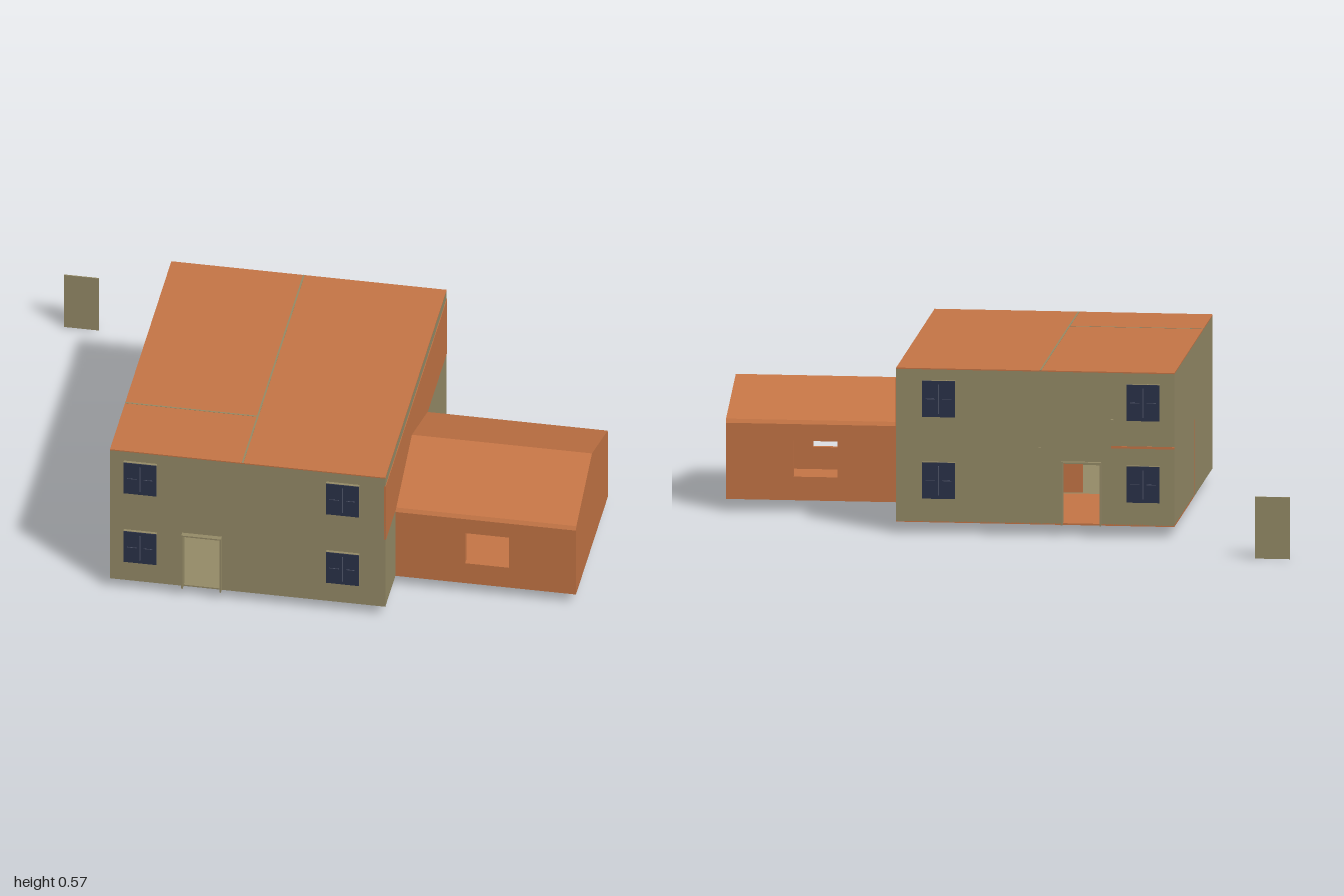
import * as THREE from 'three';

const mat = (name, color) => {
  const m = new THREE.MeshStandardMaterial({ color });
  m.name = name;
  return m;
};

export function createModel() {
  const house = new THREE.Group();
  house.name = 'house';
  const olive = mat('olive wall', 0x968c68);
  const orange = mat('terracotta', 0xc67646);
  const navy = mat('navy glass', 0x2b324a);
  const slate = mat('slate bars', 0x50566a);

  const add = (name, geo, material, parent = house) => {
    const m = new THREE.Mesh(geo, material);
    m.name = name;
    parent.add(m);
    return m;
  };
  // Box given by its minimum and maximum on each axis
  const box = (name, material, x0, x1, y0, y1, z0, z1, parent) => {
    const g = new THREE.BoxGeometry(x1 - x0, y1 - y0, z1 - z0);
    g.translate((x0 + x1) / 2, (y0 + y1) / 2, (z0 + z1) / 2);
    return add(name, g, material, parent);
  };
  const poly = (pts) => new THREE.Shape(pts.map(([x, y]) => new THREE.Vector2(x, y)));
  const extrude = (shape, depth) => new THREE.ExtrudeGeometry(shape, { depth, bevelEnabled: false });
  // Profile given as [z, y], extruded from x0 to x1
  const extrudeX = (name, material, pts, x0, x1) => {
    const g = extrude(poly(pts.map(([z, y]) => [-z, y])), x1 - x0);
    g.rotateY(Math.PI / 2).translate(x0, 0, 0);
    return add(name, g, material);
  };

  const L = -0.565, R = 0.38, B = -0.4, F = 0.745, Y0 = 0.04, Y1 = 0.565, T = 0.02;
  const doorL = -0.312, doorR = -0.186, doorTop = 0.25;

  // Main block: front and back walls with a door notch
  const notched = [[L, Y0], [doorL, Y0], [doorL, doorTop], [doorR, doorTop], [doorR, Y0], [R, Y0], [R, Y1 - 0.004], [L, Y1 - 0.004]];
  add('frontWall', extrude(poly(notched), T), olive).position.z = F - T;
  add('backWall', extrude(poly(notched), T), olive).position.z = B;
  box('rightWall', olive, L, L + T, Y0, Y1 - 0.004, B + T, F - T);
  box('leftWall', olive, R - T, R, Y0, Y1 - 0.004, B + T, F - T);
  box('leftWallBand', orange, R - 0.004, R + 0.002, 0.31, 0.53, B, F);
  box('flatRoof', orange, L, R, Y1 - 0.004, Y1, B, F);

  // Floors and inner walls
  box('frontFloor', olive, L, R, Y0 - 0.002, Y0 + 0.003, 0.175, F);
  box('backFloor', orange, L, R, Y0 - 0.003, Y0 + 0.003, B, 0.175);
  box('upperFloor', orange, L + T, R - T, 0.3, 0.312, B + T, F - T);
  box('longPartition', olive, -0.116, -0.104, Y0 + 0.003, Y1 - 0.004, B + T, F - T);
  box('upperPartition', olive, L + T, -0.116, 0.312, Y1 - 0.004, 0.455, 0.467);
  box('lowerPartitionSide', orange, L - 0.001, doorL, Y0, 0.3, 0.194, 0.202);
  box('lowerPartitionInner', orange, doorR, -0.116, Y0, 0.3, 0.194, 0.202);
  box('lowerPartitionTop', orange, doorL, doorR, doorTop, 0.3, 0.194, 0.202);

  // Seams where inner walls meet the outside
  box('roofSeamLong', olive, -0.113, -0.107, Y1 - 0.002, Y1 + 0.0008, B, F);
  box('roofSeamShort', olive, L, -0.113, Y1 - 0.002, Y1 + 0.0008, 0.458, 0.464);
  box('backSeam', olive, -0.117, -0.103, Y0, 0.3, B - 0.003, B);
  box('backLedge', orange, L, -0.35, 0.303, 0.311, B - 0.002, B);
  box('backKnob', olive, -0.358, -0.35, 0.395, 0.403, B - 0.014, B);

  // Door frames and windows, same on front and back
  for (const [side, z, s] of [['front', F, 1], ['back', B, -1]]) {
    const g = new THREE.Group();
    g.name = side + 'Openings';
    g.position.z = z;
    if (s < 0) g.rotation.y = Math.PI;
    house.add(g);
    const span = (a, b) => (s > 0 ? [a, b] : [-b, -a]);
    const t = 0.005;
    box('doorJamb', olive, ...span(doorL - t, doorL), Y0 - 0.002, doorTop + t, -T, 0.018, g);
    box('doorJamb', olive, ...span(doorR, doorR + t), Y0 - 0.002, doorTop + t, -T, 0.018, g);
    box('doorLintel', olive, ...span(doorL, doorR), doorTop, doorTop + t, -T, 0.018, g);
    for (const cx of [-0.46, 0.235]) for (const y of [0.12, 0.4]) {
      const w = new THREE.Group();
      w.name = 'window';
      w.position.set(cx * s, y + 0.062, 0);
      g.add(w);
      box('windowFrame', olive, -0.057, 0.057, -0.063, 0.063, 0, 0.01, w);
      box('glass', navy, -0.056, 0.056, -0.062, 0.062, 0.01, 0.013, w);
      box('mullion', slate, -0.0015, 0.0015, -0.05, 0.05, 0.013, 0.0145, w);
      for (const x of [-0.028, 0.028]) box('crossBar', slate, x - 0.016, x + 0.016, -0.001, 0.001, 0.013, 0.014, w);
    }
  }

  // Annex: pierced long walls, gable end, floor and pitched roof
  const AX = 1, AB = -0.04, AF = 0.558, ridge = 0.259;
  const wall = poly([[R, Y0], [AX, Y0], [AX, 0.3], [R, 0.3]]);
  wall.holes.push(poly([[0.62, 0.12], [0.62, 0.243], [0.77, 0.243], [0.77, 0.12]]));
  add('annexFrontWall', extrude(wall, T), orange).position.z = AF - T;
  add('annexBackWall', extrude(wall, T), orange).position.z = AB;
  extrudeX('annexGable', orange, [[AB + T, Y0], [AB + T, 0.3], [ridge, 0.4], [AF - T, 0.3], [AF - T, Y0]], AX - T, AX);
  box('annexFloor', orange, R, AX, Y0 - 0.001, Y0 + 0.004, AB, AF);
  extrudeX('annexRoof', orange, [[AB, 0.3], [AB + 0.008, 0.313], [ridge, 0.415], [AF - 0.008, 0.313], [AF, 0.3],
    [AF - T, 0.298], [ridge, 0.397], [AB + T, 0.298]], R, AX);

  // Loose door panel standing behind the house
  box('looseDoor', olive, -1, -0.88, 0, 0.212, -0.766, -0.762);

  return house;
}
